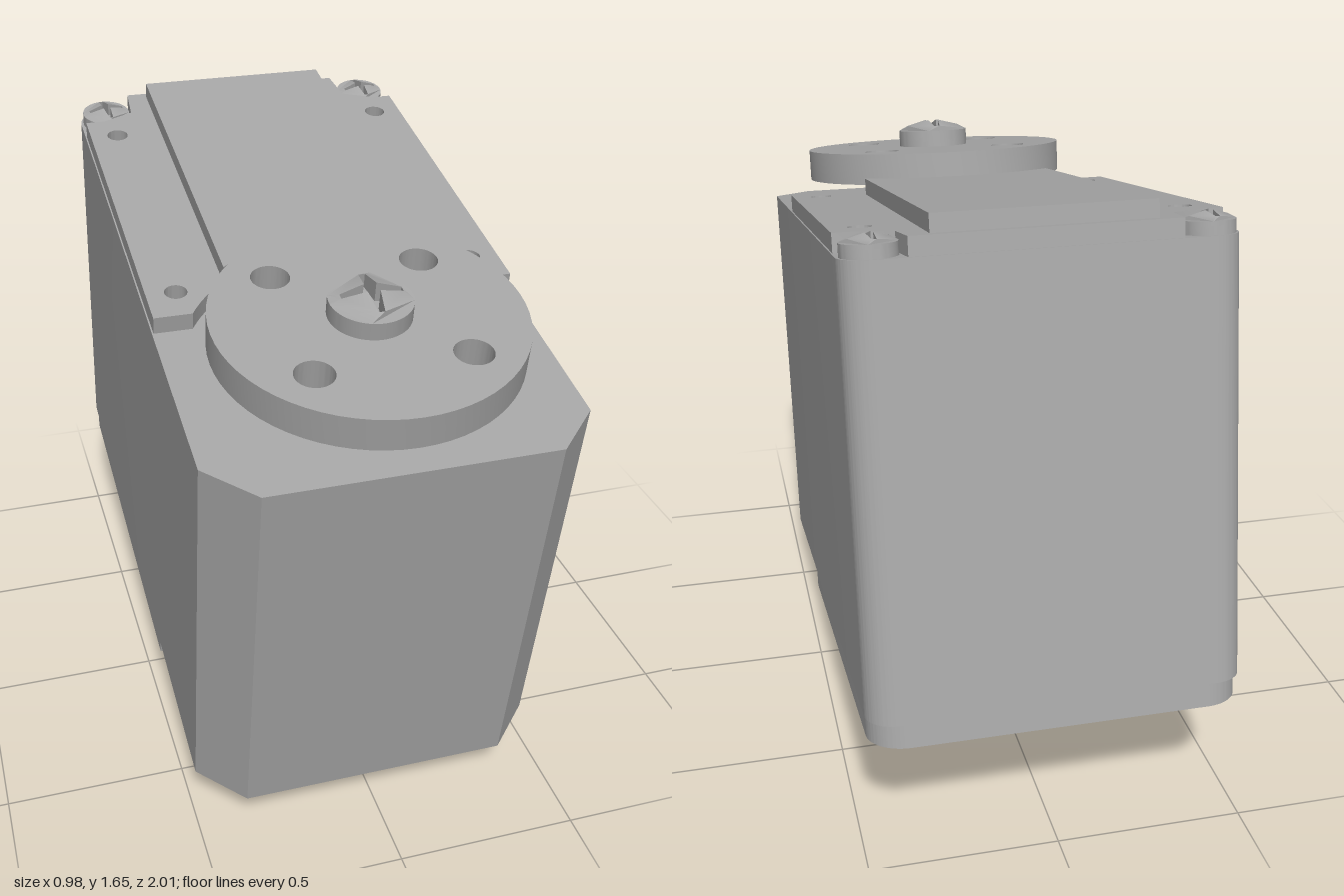
import * as THREE from 'three';
import { toCreasedNormals } from 'three/addons/utils/BufferGeometryUtils.js';

const grey = new THREE.MeshStandardMaterial({ color: 0xa6a6a6 });
grey.name = 'grey';

const AXLE = 0.403; // distance of the output axle behind the front face

// Plan shapes use x and the distance behind the front face.
function circle(x, s, r) {
  return new THREE.Path().absarc(x, s, r, 0, Math.PI * 2, false);
}

function plan(points) {
  return new THREE.Shape(points.map(([x, s]) => new THREE.Vector2(x, s)));
}

// Extrudes a plan shape upwards from height v
function slab(name, shape, v, height) {
  const geo = new THREE.ExtrudeGeometry(shape, { depth: height, bevelEnabled: false, curveSegments: 32 });
  geo.rotateX(-Math.PI / 2);
  const mesh = new THREE.Mesh(toCreasedNormals(geo, 0.6), grey);
  mesh.name = name;
  mesh.position.y = v;
  return mesh;
}

function drum(name, r, x, s, v0, v1, sides = 40) {
  const mesh = new THREE.Mesh(new THREE.CylinderGeometry(r, r, v1 - v0, sides), grey);
  mesh.name = name;
  mesh.position.set(x, (v0 + v1) / 2, -s);
  return mesh;
}

// Rounds the two back corners of an outline
function roundBack(shape, w, back, r) {
  shape.lineTo(w, back - r);
  shape.absarc(w - r, back - r, r, 0, Math.PI / 2, false);
  shape.absarc(-w + r, back - r, r, Math.PI / 2, Math.PI, false);
  shape.closePath();
  return shape;
}

// Front edge of the covers, scooped around the axle
function scoopedFront(w, front) {
  const r = 0.45, d = front - AXLE, a = Math.sqrt(r * r - d * d);
  const shape = new THREE.Shape();
  shape.moveTo(-w, front);
  shape.lineTo(-a, front);
  shape.absarc(0, AXLE, r, Math.atan2(d, -a), Math.atan2(d, a), true);
  shape.lineTo(w, front);
  return shape;
}

// Domed screw head with a cross recess
function screw(name, r, h, x, s, v, turn) {
  const group = new THREE.Group();
  group.name = name;
  const shape = new THREE.Shape().absarc(0, 0, r, 0, Math.PI * 2, false);
  const long = 0.74 * r, tip = 0.08 * r, root = 0.15 * r, cross = [];
  for (let i = 0; i < 4; i++) {
    const c = new THREE.Vector2(), a = i * Math.PI / 2;
    for (const [px, py] of [[root, -root], [long, -tip], [long, tip]]) {
      cross.push(new THREE.Vector2(px, py).rotateAround(c, a));
    }
  }
  shape.holes.push(new THREE.Path(cross));
  const head = slab('head', shape, 0, h);
  const pos = head.geometry.attributes.position;
  for (let i = 0; i < pos.count; i++) {
    if (pos.getY(i) < h / 2) continue;
    const q = Math.hypot(pos.getX(i), pos.getZ(i)) / r;
    pos.setY(i, h * (1 - 0.4 * q * q));
  }
  head.geometry = toCreasedNormals(head.geometry, 0.5);
  group.add(head, drum('recessFloor', r * 0.9, 0, 0, 0, h * 0.3, 24));
  group.position.set(x, v, -s);
  group.rotation.y = turn;
  return group;
}

export function createModel() {
  const model = new THREE.Group();
  model.name = 'servo';
  const servo = new THREE.Group();
  servo.name = 'tiltedServo';
  servo.position.set(0, 0.11, 0.77);
  servo.rotation.x = 0.185;
  model.add(servo);

  // Main case with chamfered front and rounded back edges
  const body = plan([[-0.488, 0.12], [-0.37, 0], [0.37, 0], [0.488, 0.12]]);
  servo.add(slab('case', roundBack(body, 0.488, 1.805, 0.08), 0, 1.14));

  // Top cover with corner notches for the screws
  const top = scoopedFront(0.484, 0.64);
  for (const [x, s] of [[0.484, 1.65], [0.43, 1.65], [0.34, 1.69], [0.33, 1.8],
    [-0.33, 1.8], [-0.34, 1.69], [-0.43, 1.65], [-0.484, 1.65]]) top.lineTo(x, s);
  top.closePath();
  for (const x of [-0.405, 0.405]) {
    top.holes.push(circle(x, 0.74, 0.03), circle(x, 1.56, 0.03));
  }
  servo.add(slab('topCover', top, 1.14, 0.048));

  // Raised panel on the top cover
  const panel = new THREE.Shape();
  const a = Math.acos(0.275 / 0.45);
  panel.absarc(0, AXLE, 0.45, Math.PI - a, a, true);
  panel.lineTo(0.275, 1.777);
  panel.lineTo(-0.275, 1.777);
  servo.add(slab('topPanel', panel, 1.185, 0.049));

  // Bottom cover with screw holes and connector slots
  const bottom = roundBack(scoopedFront(0.484, 0.62), 0.484, 1.8, 0.1);
  for (const side of [-1, 1]) {
    bottom.holes.push(circle(side * 0.405, 0.74, 0.03), circle(side * 0.405, 1.71, 0.03));
    const x0 = side * 0.05, x1 = side * 0.36;
    bottom.holes.push(new THREE.Path([[x0, 0.9], [x1, 0.9], [x1, 1.03], [x0, 1.03]]
      .map(([x, s]) => new THREE.Vector2(x, s))));
  }
  servo.add(slab('bottomCover', bottom, -0.064, 0.064));

  // Bevelled panel under the bottom cover
  const wedge = plan([[1.06, -0.06], [1.195, -0.138], [1.58, -0.138], [1.595, -0.06]]);
  const wedgeGeo = new THREE.ExtrudeGeometry(wedge, { depth: 0.72, bevelEnabled: false });
  wedgeGeo.rotateY(Math.PI / 2).translate(-0.36, 0, 0);
  const wedgeMesh = new THREE.Mesh(wedgeGeo, grey);
  wedgeMesh.name = 'bottomPanel';
  servo.add(wedgeMesh);

  // Two rows of three connector pins
  for (const side of [-1, 1]) {
    for (let i = 1; i <= 3; i++) {
      servo.add(drum('connectorPin', 0.036, side * (0.005 + i * 0.098), 0.96, -0.205, 0, 16));
    }
  }

  // Hollow bearing boss below the axle
  const boss = new THREE.Shape().absarc(0, AXLE, 0.12, 0, Math.PI * 2, false);
  boss.holes.push(circle(0, AXLE, 0.05));
  servo.add(slab('bearingBoss', boss, -0.16, 0.16));

  // Output shaft, hub and horn disc with four holes
  servo.add(drum('outputShaft', 0.12, 0, AXLE, 1.13, 1.17));
  servo.add(drum('hornHub', 0.175, 0, AXLE, 1.152, 1.215));
  const horn = new THREE.Shape().absarc(0, AXLE, 0.395, 0, Math.PI * 2, false);
  for (const x of [-0.196, 0.196]) {
    for (const d of [-0.196, 0.196]) horn.holes.push(circle(x, AXLE + d, 0.05));
  }
  servo.add(slab('hornDisc', horn, 1.21, 0.09));

  // Screws
  servo.add(screw('hornScrew', 0.106, 0.08, 0, AXLE, 1.3, 0));
  for (const x of [-0.41, 0.41]) servo.add(screw('caseScrew', 0.07, 0.056, x, 1.73, 1.14, 0.15));

  return model;
}
